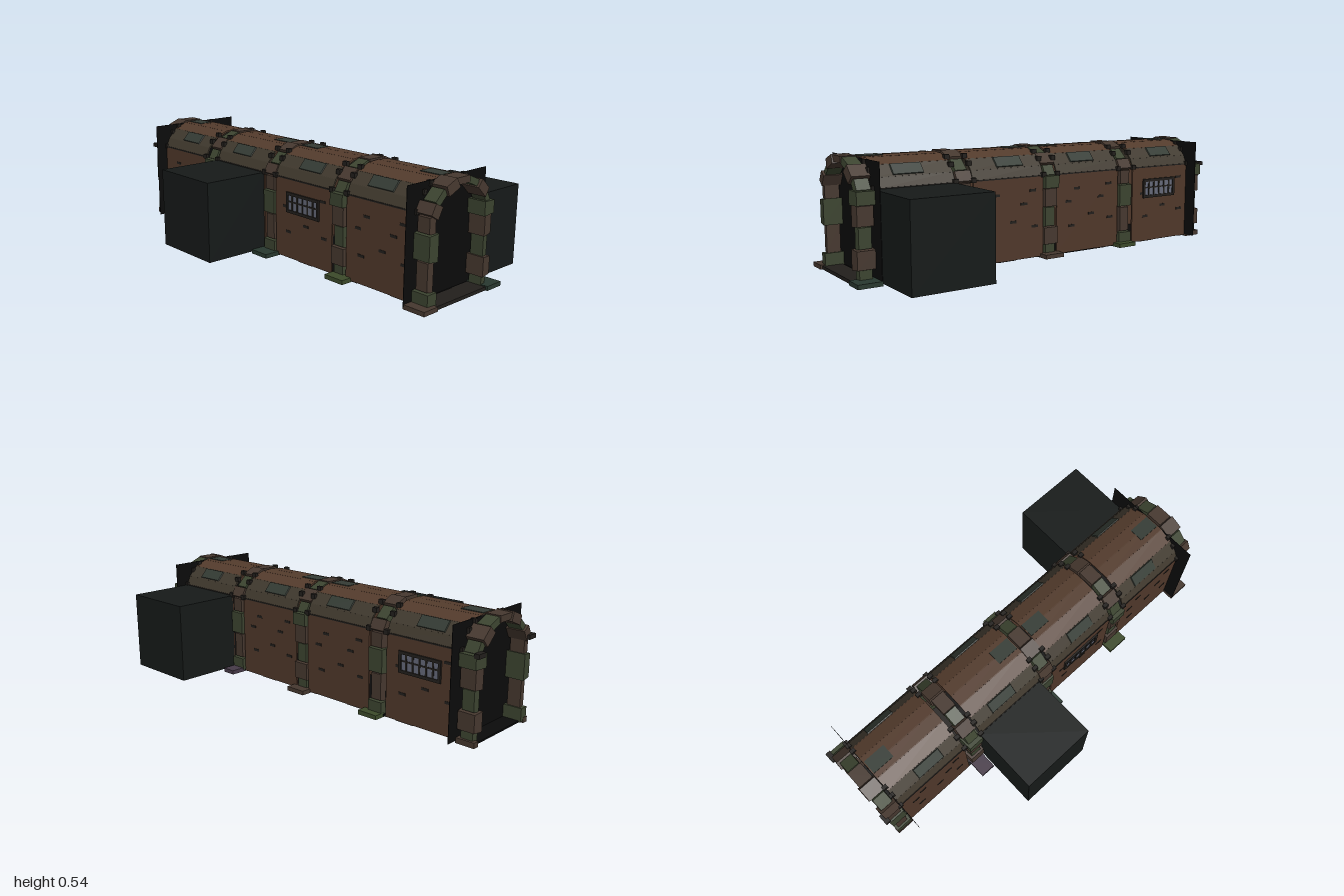
import * as THREE from 'three';

const mat = (color) => new THREE.MeshStandardMaterial({ color, flatShading: true });
const M = {
  wall: mat(0x50382a), roof: mat(0x533b2c), roofSide: mat(0x40392e), panel: mat(0x343b34),
  dark: mat(0x221f1c), black: mat(0x0b0b0b), room: mat(0x161a19), green: mat(0x3c4430),
  brown: mat(0x46382f), mauve: mat(0x463a48), moss: mat(0x3c4a2a), teal: mat(0x28382f),
  metal: mat(0x8c8c8c), glass: mat(0x666a7a), tile: mat(0x30221a),
};

// Half of the tunnel's cross-section, from the foot of the wall to the crown
const HALF = [[0.188, 0.03], [0.188, 0.41], [0.168, 0.455], [0.125, 0.502], [0.06, 0.528], [0, 0.532]];

function add(parent, name, geo, material, x = 0, y = 0, z = 0) {
  const m = new THREE.Mesh(geo, material);
  m.name = name;
  m.position.set(x, y, z);
  parent.add(m);
  return m;
}

function box(parent, name, material, [x0, x1], [y0, y1], [z0, z1]) {
  return add(parent, name, new THREE.BoxGeometry(x1 - x0, y1 - y0, z1 - z0), material,
    (x0 + x1) / 2, (y0 + y1) / 2, (z0 + z1) / 2);
}

// Block running from p to q in the cross-section; its outer face is narrowed by taper
function bar(parent, name, material, p, q, thick, depth, z, taper = 1) {
  const dx = q[0] - p[0], dy = q[1] - p[1];
  const geo = new THREE.BoxGeometry(thick, Math.hypot(dx, dy) + 0.004, depth);
  const pos = geo.attributes.position;
  const out = Math.sign((p[0] + q[0]) * dy - (p[1] + q[1] - 0.6) * dx) || 1;
  for (let i = 0; i < pos.count; i++) {
    if (pos.getX(i) * out > 0) {
      pos.setY(i, pos.getY(i) * taper);
      pos.setZ(i, pos.getZ(i) * taper);
    }
  }
  geo.computeVertexNormals();
  const m = add(parent, name, geo, material, (p[0] + q[0]) / 2, (p[1] + q[1]) / 2, z);
  m.rotation.z = Math.atan2(dy, dx) - Math.PI / 2;
  return m;
}

const flip = ([x, y], s) => [x * s, y];

// One length of hull: walls, faceted roof, roof plates, slots and edge clips
function section(zc, len, turn) {
  const g = new THREE.Group();
  g.name = 'hullSection';
  for (const s of [1, -1]) {
    for (let i = 0; i < HALF.length - 1; i++) {
      const material = i === 0 ? M.wall : i < 3 ? M.roofSide : M.roof;
      bar(g, i === 0 ? 'wall' : 'roofFacet', material, flip(HALF[i], s), flip(HALF[i + 1], s), 0.008, len, 0);
    }
    // Raised plate on the slope of the roof
    bar(g, 'roofPlate', M.panel, [s * 0.166, 0.462], [s * 0.13, 0.502], 0.012, 0.15, s * turn * 0.02, 0.94);
    // Seam between wall and roof
    box(g, 'eaveSeam', M.dark, [s * 0.19 - 0.004, s * 0.19 + 0.004], [0.408, 0.414], [-len / 2, len / 2]);
    // Shallow slots in the wall
    for (const [z, y] of [[-0.13, 0.34], [-0.08, 0.28], [-0.02, 0.2], [0.07, 0.33], [0.12, 0.27], [0.1, 0.15], [-0.14, 0.17]])
      box(g, 'wallSlot', M.dark, [s * 0.192 - 0.002, s * 0.192 + 0.002], [y, y + 0.012], [z * s - 0.018, z * s + 0.018]);
    // Clips along both ends of the roof
    for (const e of [1, -1]) {
      for (const [x, y] of [[0.192, 0.41], [0.15, 0.483], [0.11, 0.513]])
        box(g, 'roofClip', M.dark, [s * x - 0.009, s * x + 0.009], [y - 0.006, y + 0.016],
          [e * len / 2 - 0.012, e * len / 2 + 0.012]);
    }
  }
  box(g, 'crownPlate', M.panel, [-0.035, 0.035], [0.53, 0.537], [turn * 0.13 - 0.055, turn * 0.13 + 0.055]);
  g.position.z = zc;
  return g;
}

// Ribbed arch made of alternating wide and narrow blocks
function arch(zc, d, turn) {
  const g = new THREE.Group();
  g.name = 'arch';
  // [foot, head, thickness, depth share] for the two unlike posts
  const posts = {
    '-1': [[0.03, 0.09, 0.05, 1], [0.09, 0.22, 0.032, 0.7], [0.22, 0.335, 0.05, 1], [0.335, 0.405, 0.034, 0.75]],
    1: [[0.03, 0.08, 0.03, 0.7], [0.08, 0.165, 0.05, 1], [0.165, 0.26, 0.03, 0.7], [0.26, 0.35, 0.048, 0.9], [0.35, 0.41, 0.07, 1]],
  };
  for (const s of [1, -1]) {
    posts[s].forEach(([y0, y1, t, k], i) =>
      bar(g, 'archPost', i % 2 ? M.brown : M.green, [s * 0.178, y0], [s * 0.178, y1], t, d * k, 0, 0.9));
    const ring = [[0.18, 0.405], [0.155, 0.45], [0.105, 0.496], [0.04, 0.523]];
    for (let i = 0; i < 3; i++) {
      const wide = (i + (s > 0 ? 0 : 1)) % 2;
      bar(g, 'archBlock', wide ? M.brown : M.green, flip(ring[i], s), flip(ring[i + 1], s),
        wide ? 0.044 : 0.03, d * (wide ? 1 : 0.75), 0, 0.92);
    }
  }
  box(g, 'keystone', M.brown, [-0.042, 0.042], [0.51, 0.54], [-d * 0.4, d * 0.4]);
  g.rotation.y = turn > 0 ? 0 : Math.PI;
  g.position.z = zc;
  return g;
}

// Barred window on a side wall; s is the side
function barredWindow(s, zc) {
  const g = new THREE.Group();
  g.name = 'barredWindow';
  const at = (name, m, y, z, h, w, t) =>
    add(g, name, new THREE.BoxGeometry(t, h, w), m, s * 0.193, y, z);
  at('windowPane', M.glass, 0.3, 0, 0.07, 0.19, 0.005);
  for (const e of [1, -1]) {
    at('frameRail', M.dark, 0.3 + e * 0.042, 0, 0.014, 0.22, 0.014);
    at('frameEnd', M.dark, 0.3, e * 0.103, 0.09, 0.014, 0.014);
  }
  for (let i = -2; i <= 2; i++) at('windowBar', M.dark, 0.3, i * 0.035, 0.08, 0.009, 0.01);
  at('crossBar', M.dark, 0.305, 0, 0.007, 0.2, 0.01);
  g.position.z = zc;
  return g;
}

export function createModel() {
  const model = new THREE.Group();
  model.name = 'corridor';

  // Four hull lengths
  [-0.71, -0.23, 0.23, 0.7].forEach((z, i) => model.add(section(z, 0.38, i % 2 ? 1 : -1)));

  // Five arches
  [-0.945, -0.465, 0, 0.465, 0.935].forEach((z, i) => model.add(arch(z, i % 4 ? 0.085 : 0.09, i % 2 ? -1 : 1)));

  // Floor with a scatter of brown tiles on the underside
  box(model, 'floor', M.black, [-0.19, 0.19], [0.026, 0.034], [-0.98, 0.98]);
  for (let i = 0; i < 20; i++) {
    for (let j = 0; j < 4; j++) {
      if ((i * 7 + j * 5 + i * j) % 3) continue;
      const x = -0.19 + j * 0.095, z = -0.96 + i * 0.096;
      box(model, 'floorTile', M.tile, [x, x + 0.095], [0.024, 0.028], [z, z + 0.096]);
    }
  }

  // Threshold sills with coloured end pads: centre z, then [x, z0, z1, colour] for each end
  const sills = [
    [0.945, [-0.25, 0.89, 1.0, M.brown], [0.26, 0.89, 1.0, M.teal]],
    [0.465, [-0.245, 0.43, 0.54, M.moss], [0.27, 0.43, 0.5, M.mauve]],
    [0, [-0.27, -0.05, 0.055, M.teal], [0.24, -0.05, 0.055, M.brown]],
    [-0.465, [-0.275, -0.505, -0.43, M.mauve], [0.24, -0.505, -0.4, M.moss]],
  ];
  for (const [z, ...ends] of sills) {
    box(model, 'sill', M.dark, [-0.18, 0.18], [0.02, 0.036], [z - 0.045, z + 0.045]);
    for (const [x, z0, z1, m] of ends)
      box(model, 'sillPad', m, [Math.min(x, Math.sign(x) * 0.165), Math.max(x, Math.sign(x) * 0.165)], [0.02, 0.04], [z0, z1]);
  }

  // Flared feet of the rear arch
  for (const s of [1, -1]) {
    box(model, 'rearFoot', M.brown, [s * 0.19 - 0.015, s * 0.19 + 0.015], [0.02, 0.045], [-0.99, -0.9]);
    box(model, 'rearBracket', M.dark, [s * 0.19 - 0.025, s * 0.19 + 0.025], [0.4, 0.42], [-1, -0.975]);
  }

  // Dark end screens
  for (const z of [0.892, -0.9])
    box(model, 'endScreen', M.black, [-0.252, 0.258], [0.03, 0.53], [z - 0.001, z + 0.001]);

  // Side rooms, one on each flank
  box(model, 'sideRoom', M.room, [0.19, 0.52], [0.03, 0.41], [0.51, 0.89]);
  box(model, 'sideRoom', M.room, [-0.52, -0.19], [0.03, 0.41], [-0.425, -0.05]);

  // Barred windows
  model.add(barredWindow(1, -0.7), barredWindow(-1, 0.23));

  // Pans under the floor
  for (const z of [0.71, -0.23]) {
    box(model, 'panRim', M.room, [-0.15, 0.15], [0.012, 0.026], [z - 0.14, z + 0.14]);
    box(model, 'floorPan', M.metal, [-0.085, 0.085], [0, 0.014], [z - 0.14, z + 0.14]);
  }
  return model;
}
